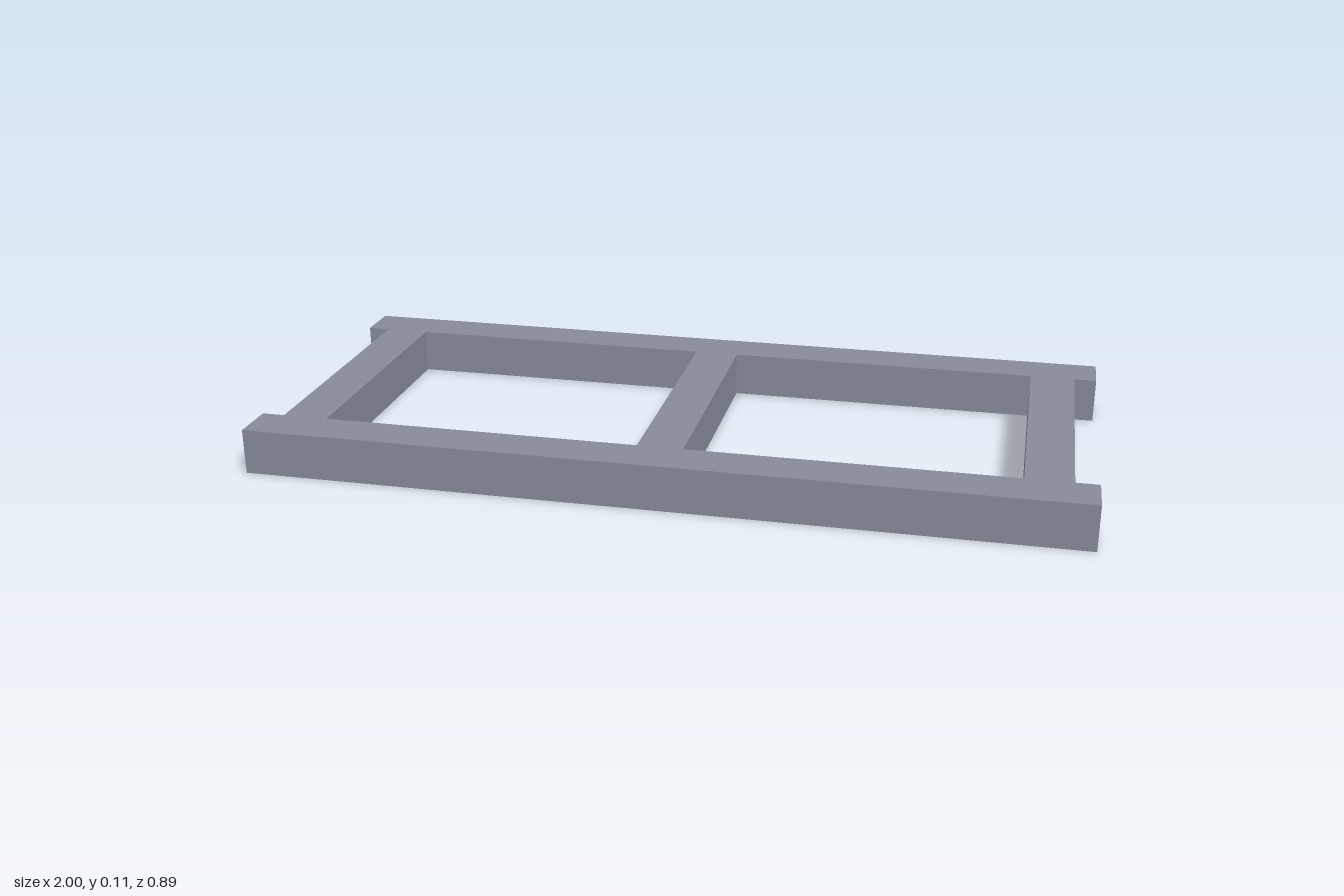
import * as THREE from 'three';

export function createModel() {
  const steel = new THREE.MeshStandardMaterial({ color: 0x858b97 });
  steel.name = 'blueGrey';

  const U = 1 / 9;              // beam thickness
  const halfLength = 9 * U;
  const halfDepth = 4 * U;
  const inner = 3 * U;          // inner edge of the long rails
  const postOuter = 8.5 * U;    // end crossbars, set in from the rail tips
  const postInner = 7.5 * U;
  const midHalf = 0.5 * U;      // half width of the middle crossbar

  const points = (list) => list.map(([x, y]) => new THREE.Vector2(x, y));

  // Outline: two long rails with a shallow recess at each end
  const outline = new THREE.Shape(points([
    [-halfLength, -halfDepth], [halfLength, -halfDepth],
    [halfLength, -inner], [postOuter, -inner],
    [postOuter, inner], [halfLength, inner],
    [halfLength, halfDepth], [-halfLength, halfDepth],
    [-halfLength, inner], [-postOuter, inner],
    [-postOuter, -inner], [-halfLength, -inner],
  ]));

  // Two openings either side of the middle crossbar
  for (const side of [-1, 1]) {
    outline.holes.push(new THREE.Path(points([
      [side * midHalf, -inner], [side * midHalf, inner],
      [side * postInner, inner], [side * postInner, -inner],
    ])));
  }

  // Lay the frame flat on the ground
  const geometry = new THREE.ExtrudeGeometry(outline, { depth: U, bevelEnabled: false });
  geometry.rotateX(-Math.PI / 2);

  const frame = new THREE.Mesh(geometry, steel);
  frame.name = 'frame';

  const model = new THREE.Group();
  model.name = 'ladderFrame';
  model.add(frame);
  return model;
}
